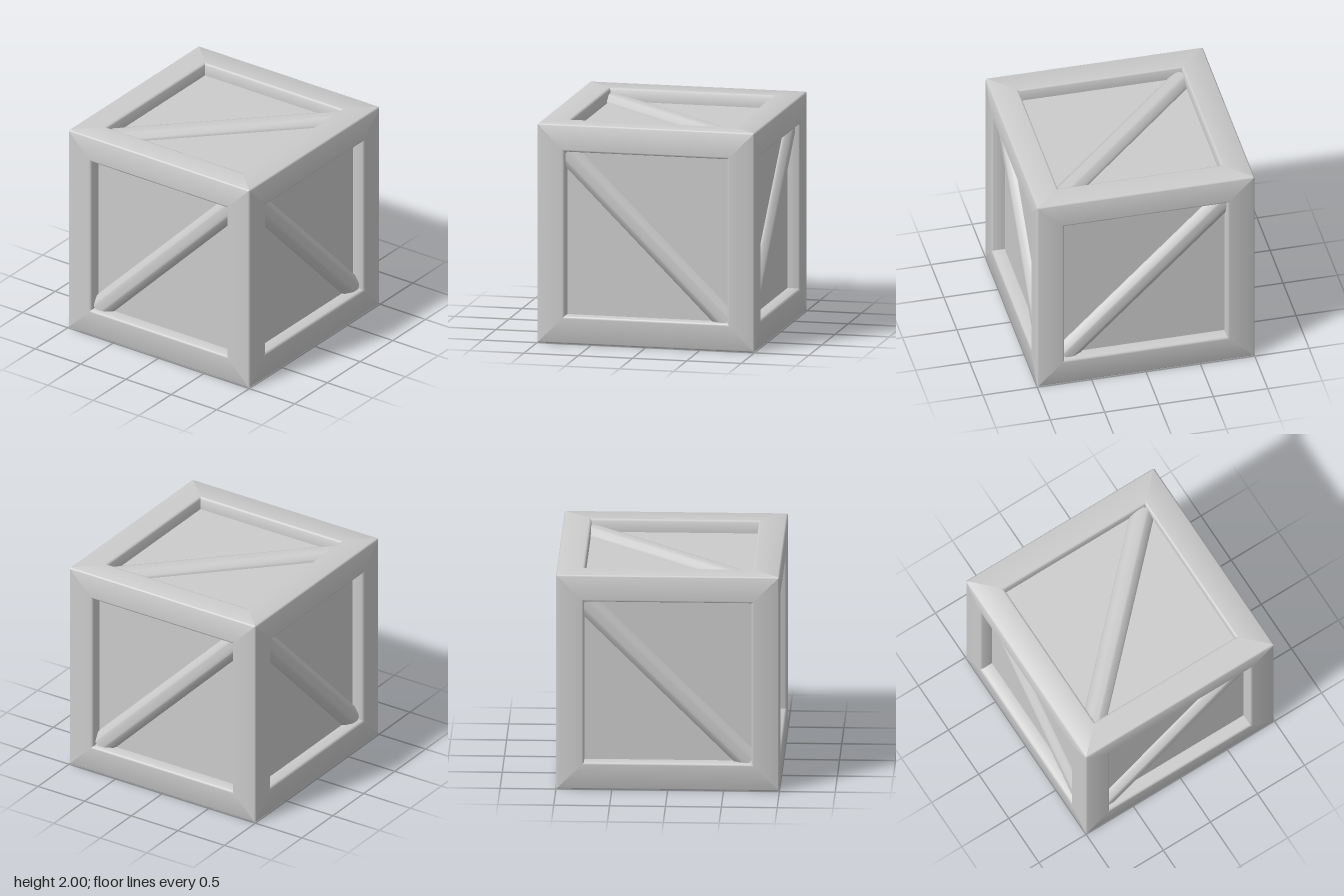
import * as THREE from 'three';

const material = new THREE.MeshStandardMaterial({ color: 0xcccccc });
const OPENING = 0.75; // half size of the recessed panel
const PANEL = 0.88;   // distance of the panel from the crate centre

// Frame profile, outside to inside: half size, height, normal (outward tilt, up)
const PROFILE = [
  [0.994, 0.994, 0.71, 0.71],
  [0.985, 1.0, 0.25, 0.97],
  [0.77, 1.0, 0.0, 1.0],
  [0.755, 0.994, -0.6, 0.8],
  [OPENING, 0.98, -0.95, 0.3],
  [OPENING, PANEL, -1.0, 0.0],
];

// One mitred side of the frame; four of them close the square
function frameSideGeometry() {
  const position = [], normal = [], index = [];
  PROFILE.forEach(([r, h, tilt, up], i) => {
    position.push(-r, -r, h, r, -r, h);
    normal.push(0, -tilt, up, 0, -tilt, up);
    if (i === 0) return;
    const a = 2 * (i - 1);
    index.push(a, a + 1, a + 3, a, a + 3, a + 2);
  });
  const g = new THREE.BufferGeometry();
  g.setAttribute('position', new THREE.Float32BufferAttribute(position, 3));
  g.setAttribute('normal', new THREE.Float32BufferAttribute(normal, 3));
  g.setIndex(index);
  return g;
}

// Diagonal brace from top left to bottom right, its ends cut to fit the corners
function braceGeometry(shift) {
  const section = [
    [-0.106, 0], [-0.1, 0.025], [-0.055, 0.064], [-0.035, 0.07], [0, 0.07],
    [0.035, 0.07], [0.055, 0.064], [0.1, 0.025], [0.106, 0],
  ];
  const position = [], index = [];
  section.forEach(([across, height], i) => {
    const s = across + shift;
    const reach = OPENING * Math.SQRT2 - Math.abs(s);
    for (const t of [-reach, reach]) {
      position.push((t + s) / Math.SQRT2, (s - t) / Math.SQRT2, PANEL + height);
    }
    if (i === 0) return;
    const a = 2 * (i - 1);
    index.push(a, a + 1, a + 3, a, a + 3, a + 2);
  });
  const g = new THREE.BufferGeometry();
  g.setAttribute('position', new THREE.Float32BufferAttribute(position, 3));
  g.setIndex(index);
  g.computeVertexNormals();
  return g;
}

function addMesh(parent, name, geometry) {
  const mesh = new THREE.Mesh(geometry, material);
  mesh.name = name;
  parent.add(mesh);
  return mesh;
}

export function createModel() {
  const crate = new THREE.Group();
  crate.name = 'crate';

  const side = frameSideGeometry();
  const panel = new THREE.PlaneGeometry(2 * OPENING, 2 * OPENING);
  const quarter = Math.PI / 2;

  // name, turn about x, turn about y, rising brace, sideways shift of the brace
  const faces = [
    ['front', 0, 0, false, -0.014],
    ['back', 0, Math.PI, false, -0.014],
    ['left', 0, quarter, true, -0.02],
    ['right', 0, -quarter, true, -0.02],
    ['top', -quarter, 0, false, 0.015],
    ['bottom', quarter, 0, true, 0],
  ];

  for (const [name, turnX, turnY, rising, shift] of faces) {
    const face = new THREE.Group();
    face.name = name + 'Face';
    face.rotation.set(turnX, turnY, 0);
    face.position.y = 1;

    for (let i = 0; i < 4; i++) {
      addMesh(face, name + 'FrameSide' + (i + 1), side).rotation.z = i * quarter;
    }
    addMesh(face, name + 'Panel', panel).position.z = PANEL;
    addMesh(face, name + 'Brace', braceGeometry(shift)).rotation.z = rising ? quarter : 0;
    crate.add(face);
  }

  // Fill the box exactly: 2 units along each edge
  crate.scale.setScalar(1 / 1.0);
  return crate;
}
